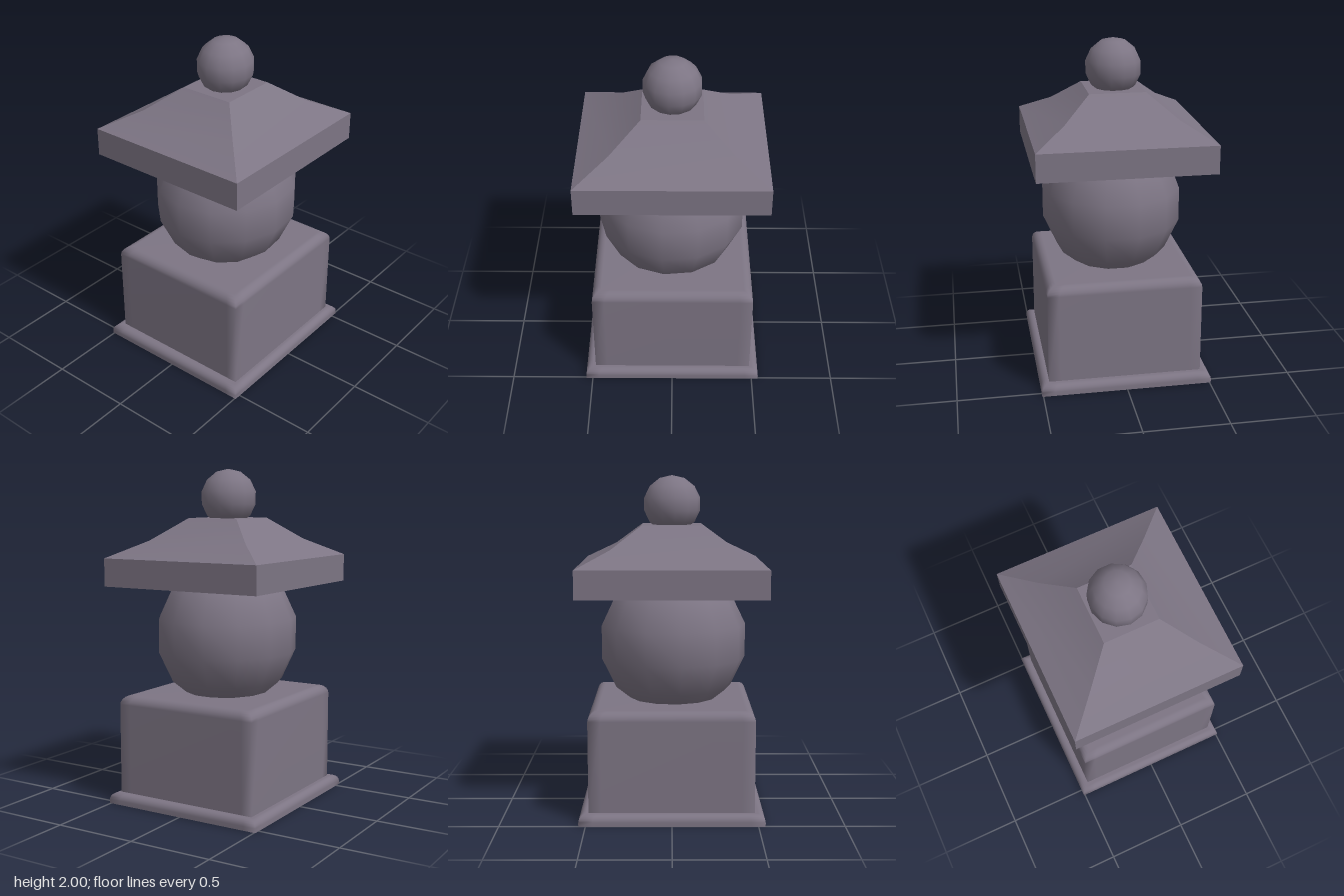
import * as THREE from 'three';
import { mergeVertices } from 'three/addons/utils/BufferGeometryUtils.js';

const stone = new THREE.MeshStandardMaterial({ color: 0x7d7584 });

// Four-sided shell lofted through [halfX, halfZ, y] rings.
// Rings blend smoothly; the corners stay creased unless softCorners is set.
function squareLoft(rings, softCorners = false) {
  const columns = [-1, -0.85, 0.85, 1];
  const n = columns.length;
  const positions = [];
  const index = [];
  for (let side = 0; side < 4; side++) {
    const base = positions.length / 3;
    for (const [hx, hz, y] of rings) {
      for (const t of columns) {
        const [u, v] = [[t, 1], [1, -t], [-t, -1], [-1, t]][side];
        positions.push(u * hx, y, v * hz);
      }
    }
    for (let j = 0; j < rings.length - 1; j++) {
      for (let k = 0; k < n - 1; k++) {
        const a = base + j * n + k;
        index.push(a, a + 1, a + n + 1, a, a + n + 1, a + n);
      }
    }
  }
  let geometry = new THREE.BufferGeometry();
  geometry.setAttribute('position', new THREE.Float32BufferAttribute(positions, 3));
  geometry.setIndex(index);
  if (softCorners) geometry = mergeVertices(geometry);
  geometry.computeVertexNormals();
  return geometry;
}

// Block with a flat bottom and a rounded upper rim
function roundedTopBlock(name, hx, hz, y0, y1, radius) {
  const group = new THREE.Group();
  group.name = name;
  const rings = [[hx, hz, y0]];
  const steps = 5;
  for (let i = 0; i <= steps; i++) {
    const a = (i / steps) * Math.PI / 2;
    const inset = radius * (1 - Math.cos(a));
    rings.push([hx - inset, hz - inset, y1 - radius + radius * Math.sin(a)]);
  }
  rings.push([0, 0, y1]);
  group.add(part(name + 'Shell', squareLoft(rings, true)));
  group.add(part(name + 'Underside', squareLoft([[0, 0, y0], [hx, hz, y0]])));
  return group;
}

function part(name, geometry) {
  const mesh = new THREE.Mesh(geometry, stone);
  mesh.name = name;
  return mesh;
}

function ball(name, rx, ry, rz, x, y, z) {
  const mesh = part(name, new THREE.SphereGeometry(1, 13, 7));
  mesh.scale.set(rx, ry, rz);
  mesh.position.set(x, y, z);
  return mesh;
}

export function createModel() {
  const model = new THREE.Group();
  model.name = 'stonePagoda';

  // Plinth and square body
  model.add(roundedTopBlock('plinth', 0.54, 0.507, 0, 0.065, 0.04));
  const body = roundedTopBlock('body', 0.483, 0.455, 0.05, 0.66, 0.055);
  body.position.set(0.002, 0, 0.004);
  model.add(body);

  // Round middle section
  model.add(ball('roundDrum', 0.451, 0.45, 0.426, -0.006, 1.01, 0.01));

  // Roof: square eave with a gently flared hip roof above it
  const roof = new THREE.Group();
  roof.name = 'roof';
  const hx = 0.547, hz = 0.512;
  const eave = new THREE.BoxGeometry(hx * 2, 0.165, hz * 2);
  eave.translate(0, 1.3975, 0);
  roof.add(part('eave', eave));
  roof.add(part('roofSlopes', squareLoft([
    [hx, hz, 1.48], [0.35, 0.328, 1.58], [0.177, 0.165, 1.71],
  ])));
  roof.add(part('roofCap', squareLoft([[0.177, 0.165, 1.71], [0, 0, 1.71]])));
  model.add(roof);

  // Finial ball
  model.add(ball('finial', 0.173, 0.17, 0.166, 0, 1.83, -0.003));

  return model;
}
